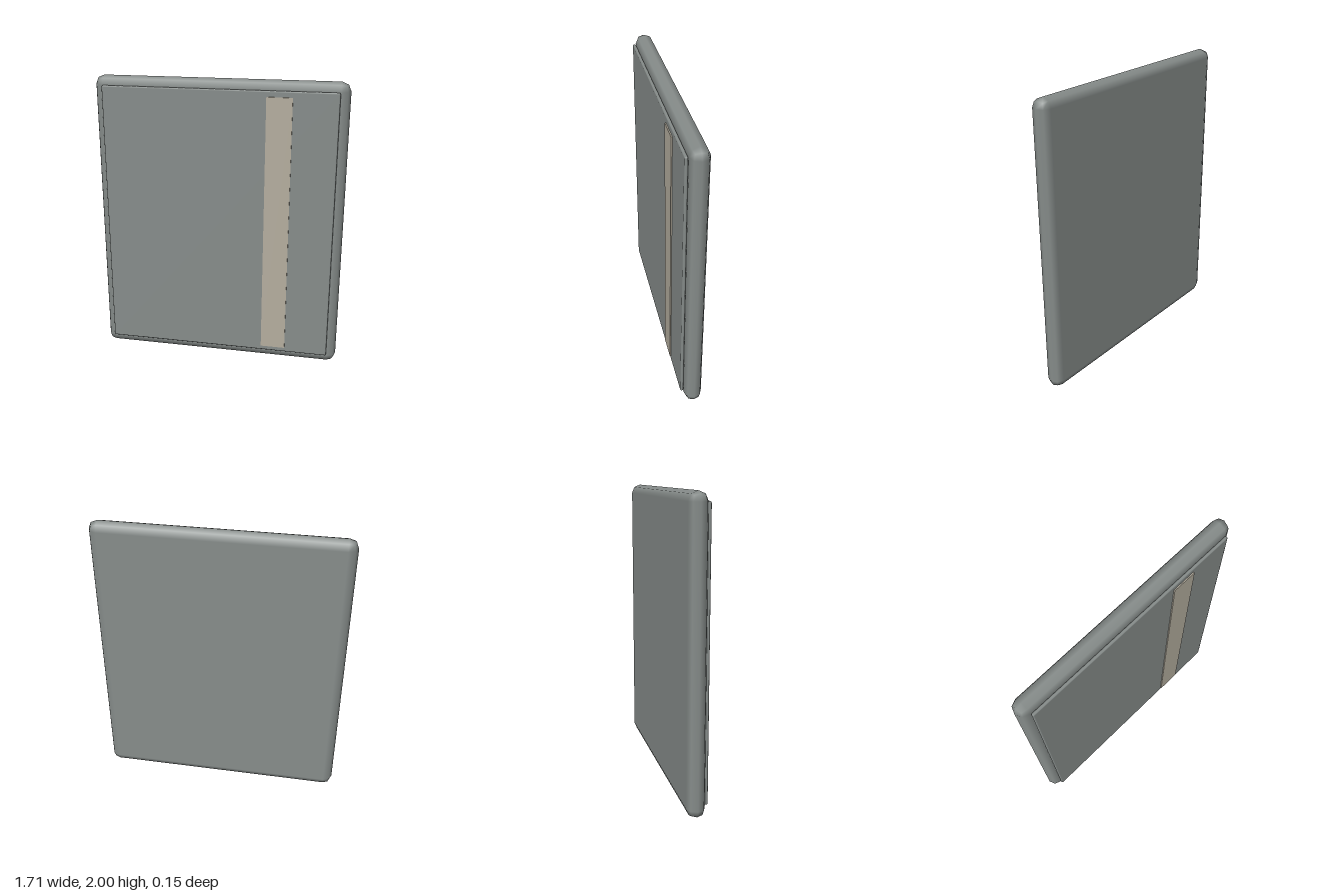
import * as THREE from 'three';
import { RoundedBoxGeometry } from 'three/addons/geometries/RoundedBoxGeometry.js';

export function createModel() {
  const model = new THREE.Group();
  const grey = new THREE.MeshStandardMaterial({ color: 0x878d8b });
  const beige = new THREE.MeshStandardMaterial({ color: 0xb5ae9f });

  const add = (name, geometry, material, x, y, z) => {
    const mesh = new THREE.Mesh(geometry, material);
    mesh.name = name;
    mesh.position.set(x, y, z);
    model.add(mesh);
  };

  // Slab with fully rounded rim, two facets per quarter turn
  add('body', new RoundedBoxGeometry(1.705, 2, 0.122, 1, 0.061), grey, 0, 1, -0.016);

  // Thin raised panel on the front
  add('frontPanel', new RoundedBoxGeometry(1.58, 1.87, 0.022, 1, 0.01), grey, 0, 1.005, 0.056);

  // Flat vertical strip on the panel
  add('strip', new THREE.BoxGeometry(0.17, 1.795, 0.01), beige, 0.407, 1.003, 0.07);

  return model;
}
